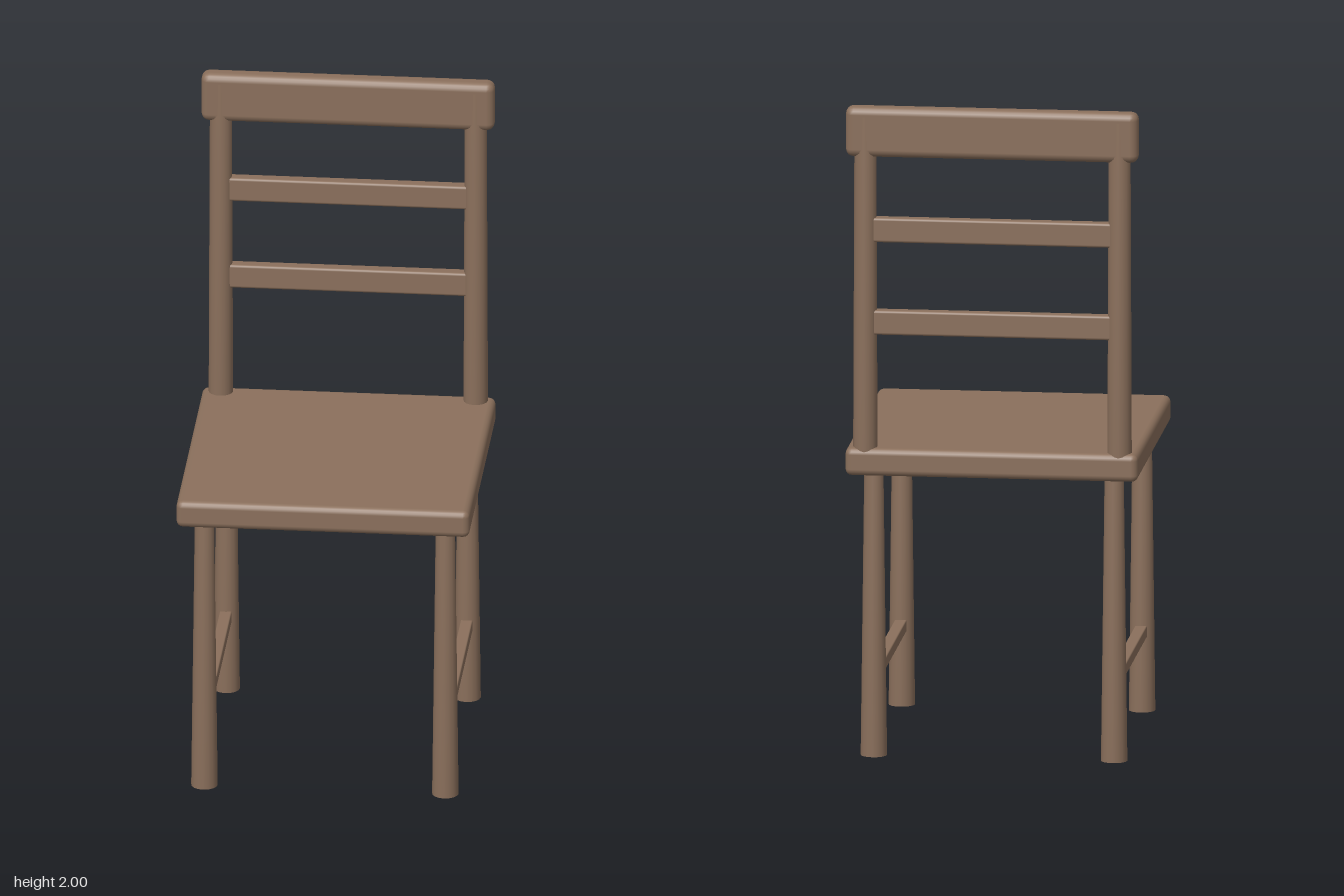
import * as THREE from 'three';
import { RoundedBoxGeometry } from 'three/addons/geometries/RoundedBoxGeometry.js';
import { mergeVertices } from 'three/addons/utils/BufferGeometryUtils.js';

const wood = new THREE.MeshStandardMaterial({ color: 0x8b705c });
wood.name = 'brownWood';

export function createModel() {
  const group = new THREE.Group();
  group.name = 'chair';

  const add = (name, geometry, x, y, z) => {
    const mesh = new THREE.Mesh(geometry, wood);
    mesh.name = name;
    mesh.position.set(x, y, z);
    group.add(mesh);
  };
  // Box with softened edges
  const bar = (name, w, h, d, r, x, y, z) =>
    add(name, new RoundedBoxGeometry(w, h, d, 2, r), x, y, z);
  // Tapered round post with normals blended over its end rims
  const post = (name, rTop, rBottom, y0, y1, x, z) => {
    const g = new THREE.CylinderGeometry(rTop, rBottom, y1 - y0, 16);
    g.deleteAttribute('normal');
    g.deleteAttribute('uv');
    const smooth = mergeVertices(g);
    smooth.computeVertexNormals();
    add(name, smooth, x, (y0 + y1) / 2, z);
  };

  // Seat
  bar('seat', 0.884, 0.085, 0.884, 0.02, 0, 0.912, 0);

  for (const [side, s] of [['left', 1], ['right', -1]]) {
    // Legs and the stretcher joining them
    post(side + 'FrontLeg', 0.029, 0.04, 0, 0.89, s * 0.363, 0.363);
    post(side + 'BackLeg', 0.029, 0.04, 0, 0.89, s * 0.363, -0.363);
    bar(side + 'Stretcher', 0.036, 0.036, 0.68, 0.004, s * 0.363, 0.247, 0);
    // Back post
    post(side + 'BackPost', 0.033, 0.037, 0.93, 1.97, s * 0.384, -0.403);
  }

  // Backrest slats and top rail
  bar('lowerSlat', 0.74, 0.075, 0.04, 0.008, 0, 1.338, -0.403);
  bar('upperSlat', 0.74, 0.075, 0.04, 0.008, 0, 1.622, -0.403);
  bar('topRail', 0.884, 0.154, 0.064, 0.024, 0, 1.923, -0.403);

  return group;
}
